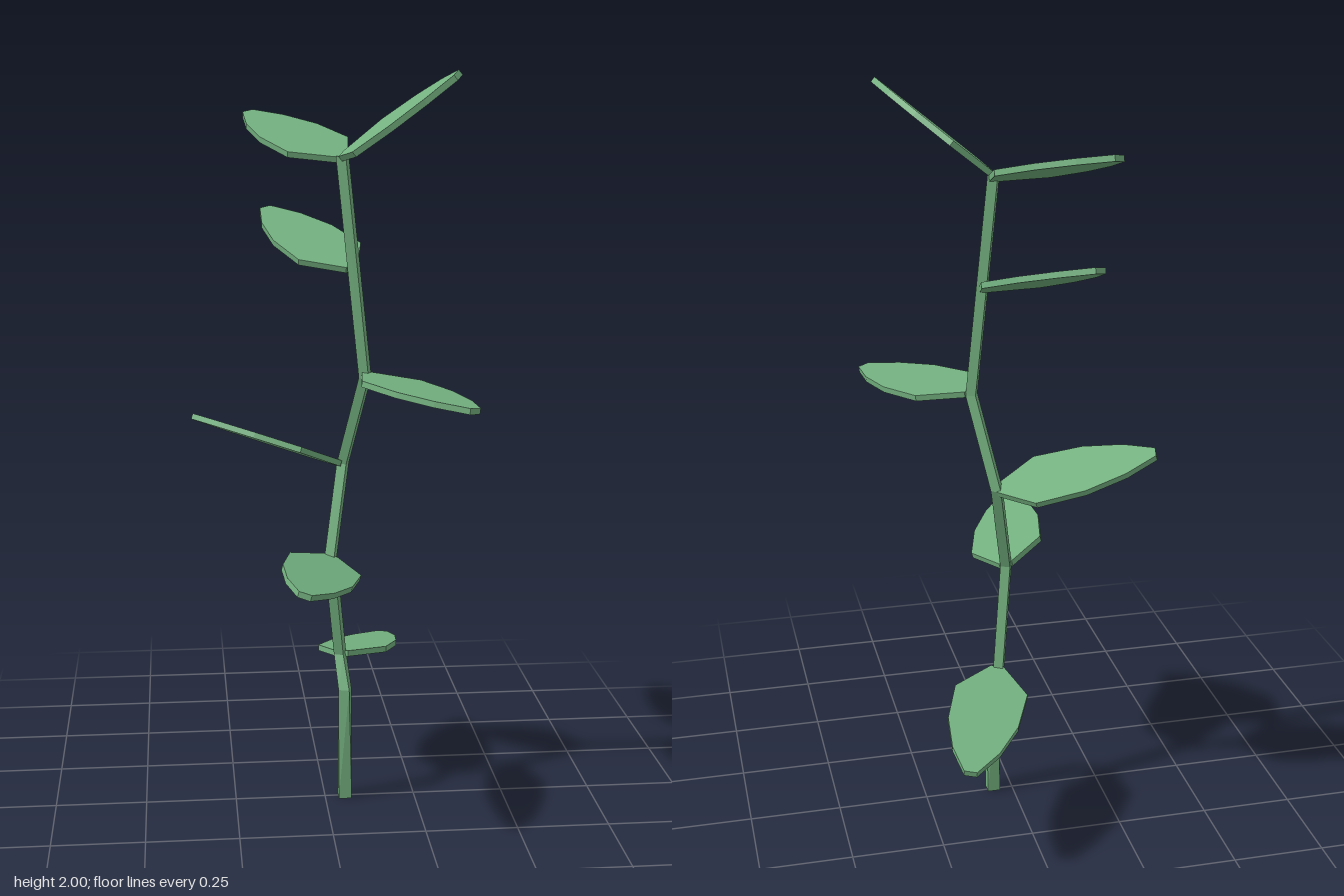
import * as THREE from 'three';

const green = new THREE.MeshStandardMaterial({ color: 0x73b07f, flatShading: true });
green.name = 'leafGreen';

// Stem joints: x, y, z, width, yaw of the square section
const JOINTS = [
  [0.055, 0, 0.006, 0.036, 0],
  [0.055, 0.32, 0.006, 0.03, -0.3],
  [0.045, 0.41, -0.034, 0.027, -0.4],
  [0.014, 0.7, 0.01, 0.027, -0.4],
  [0.053, 0.95, -0.052, 0.027, -0.4],
  [0.105, 1.2, 0.018, 0.027, -0.4],
  [0.043, 1.78, 0.018, 0.027, -0.4],
];

function stemGeometry() {
  const pos = [], index = [];
  for (const [x, y, z, w, yaw] of JOINTS) {
    for (let i = 0; i < 4; i++) {
      const a = Math.PI / 4 + i * Math.PI / 2 + yaw;
      pos.push(x + Math.sin(a) * w * Math.SQRT1_2, y, z + Math.cos(a) * w * Math.SQRT1_2);
    }
  }
  for (let r = 0; r < JOINTS.length - 1; r++) {
    for (let i = 0; i < 4; i++) {
      const a = r * 4 + i, b = r * 4 + (i + 1) % 4;
      index.push(a, b, b + 4, a, b + 4, a + 4);
    }
  }
  const t = pos.length / 3 - 4;
  index.push(0, 2, 1, 0, 3, 2, t, t + 1, t + 2, t, t + 2, t + 3); // end caps
  const geo = new THREE.BufferGeometry();
  geo.setAttribute('position', new THREE.Float32BufferAttribute(pos, 3));
  geo.setIndex(index);
  const flat = geo.toNonIndexed();
  flat.computeVertexNormals();
  return flat;
}

// Half outline of a leaf: fraction of length, half width
const HALF = [[0, 0.018], [0.24, 0.1], [0.55, 0.095], [0.805, 0.063], [1, 0.017]];
const THICK = 0.016;

function leafGeometry(length) {
  const right = HALF.map(([u, v]) => new THREE.Vector2(v, u * length));
  const left = HALF.map(([u, v]) => new THREE.Vector2(-v, u * length)).reverse();
  const geo = new THREE.ExtrudeGeometry(new THREE.Shape([...right, ...left]), { depth: THICK, bevelEnabled: false });
  return geo.translate(0, 0, -THICK / 2);
}

// Leaves: name, base x y z, tip x z, rise of the blade along x and z
const LEAVES = [
  ['lowestLeaf', 0.05, 0.408, -0.036, 0.21, -0.431, 0, 0.21],
  ['lowFrontLeaf', 0.014, 0.7, 0.01, -0.089, 0.434, -0.29, 0],
  ['middleRightLeaf', 0.05, 0.948, -0.05, -0.35, -0.17, -0.354, 0.235],
  ['middleFrontLeaf', 0.11, 1.205, 0.018, 0.338, 0.381, -0.12, 0],
  ['upperBackLeaf', 0.07, 1.487, 0.005, -0.138, -0.345, 0, -0.36],
  ['topBackLeaf', 0.043, 1.773, 0.01, -0.185, -0.325, 0, -0.31],
  ['topFrontLeaf', 0.045, 1.78, 0.018, 0.3, 0.268, 0.81, 0],
];

export function createModel() {
  const group = new THREE.Group();
  group.name = 'plant';

  const stem = new THREE.Mesh(stemGeometry(), green);
  stem.name = 'stem';
  group.add(stem);

  for (const [name, x, y, z, tx, tz, sx, sz] of LEAVES) {
    const axis = new THREE.Vector3(tx - x, (tx - x) * sx + (tz - z) * sz, tz - z);
    const leaf = new THREE.Mesh(leafGeometry(axis.length()), green);
    axis.normalize();
    const normal = new THREE.Vector3(-sx, 1, -sz).normalize();
    const side = new THREE.Vector3().crossVectors(axis, normal);
    leaf.quaternion.setFromRotationMatrix(new THREE.Matrix4().makeBasis(side, axis, normal));
    leaf.position.set(x, y, z);
    leaf.name = name;
    group.add(leaf);
  }
  return group;
}
